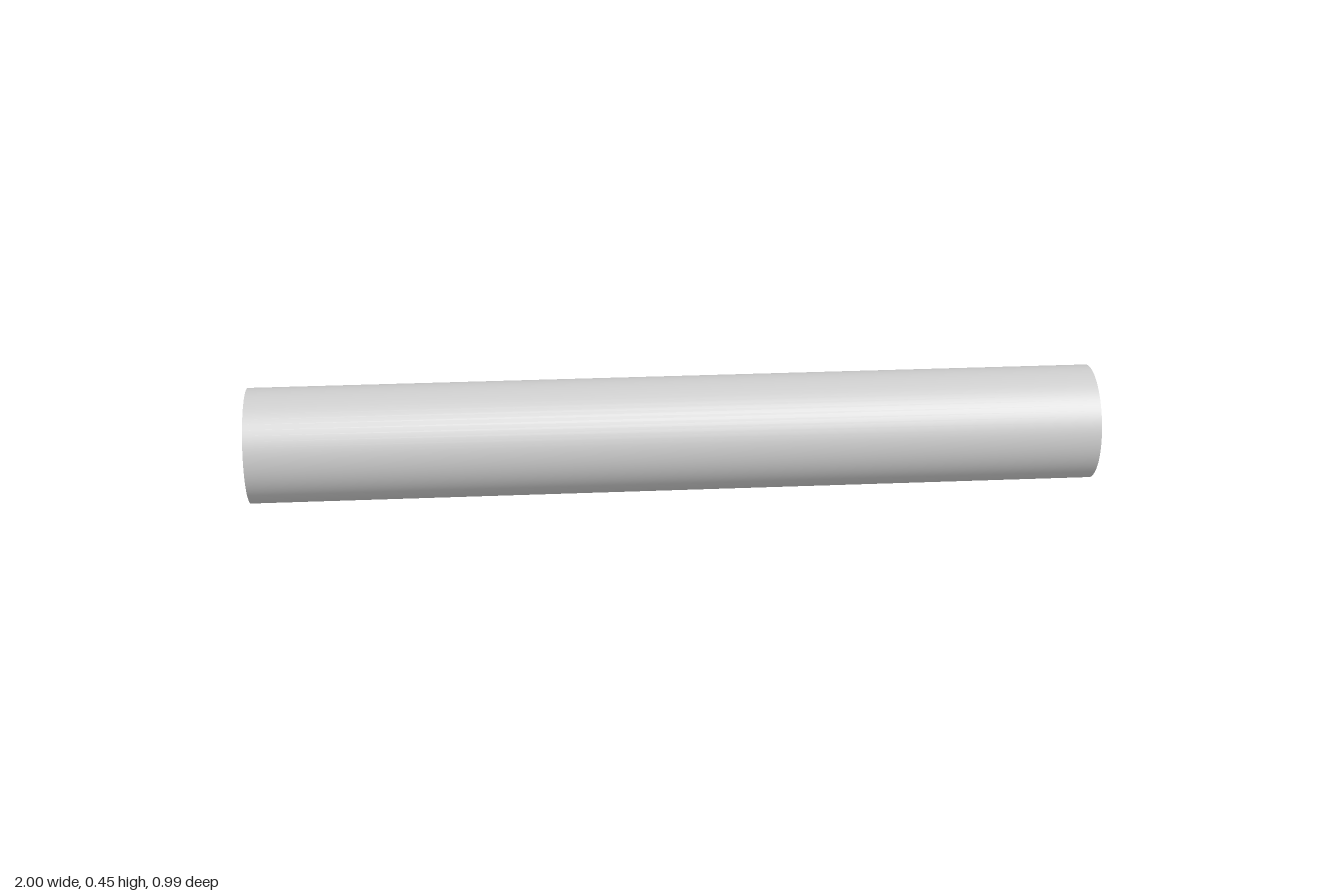
import * as THREE from 'three';
import { mergeVertices } from 'three/addons/utils/BufferGeometryUtils.js';

export function createModel() {
  const model = new THREE.Group();
  const grey = new THREE.MeshStandardMaterial({ color: 0xcccccc });
  grey.name = 'light grey';

  const axisY = 0.317, axisZ = 0.36, radius = 0.136;

  // Horizontal bar, with normals shared between the wall and the flat ends
  let bar = new THREE.CylinderGeometry(radius, radius, 2, 64);
  bar.deleteAttribute('uv');
  bar.deleteAttribute('normal');
  bar = mergeVertices(bar);
  bar.computeVertexNormals();
  bar.rotateZ(Math.PI / 2);
  const barMesh = new THREE.Mesh(bar, grey);
  barMesh.name = 'bar';
  barMesh.position.set(0, axisY, axisZ);
  model.add(barMesh);

  // Two arms sloping back and down from the bar's axis to the ground
  const length = 0.892, slope = Math.atan2(0.287, 0.845);
  const arm = new THREE.BoxGeometry(0.04, 0.058, length);
  arm.translate(0, 0, -length / 2);
  for (const [name, x] of [['rightArm', -0.59], ['leftArm', 0.633]]) {
    const mesh = new THREE.Mesh(arm, grey);
    mesh.name = name;
    mesh.position.set(x, axisY, axisZ);
    mesh.rotation.x = -slope;
    model.add(mesh);
  }
  return model;
}
